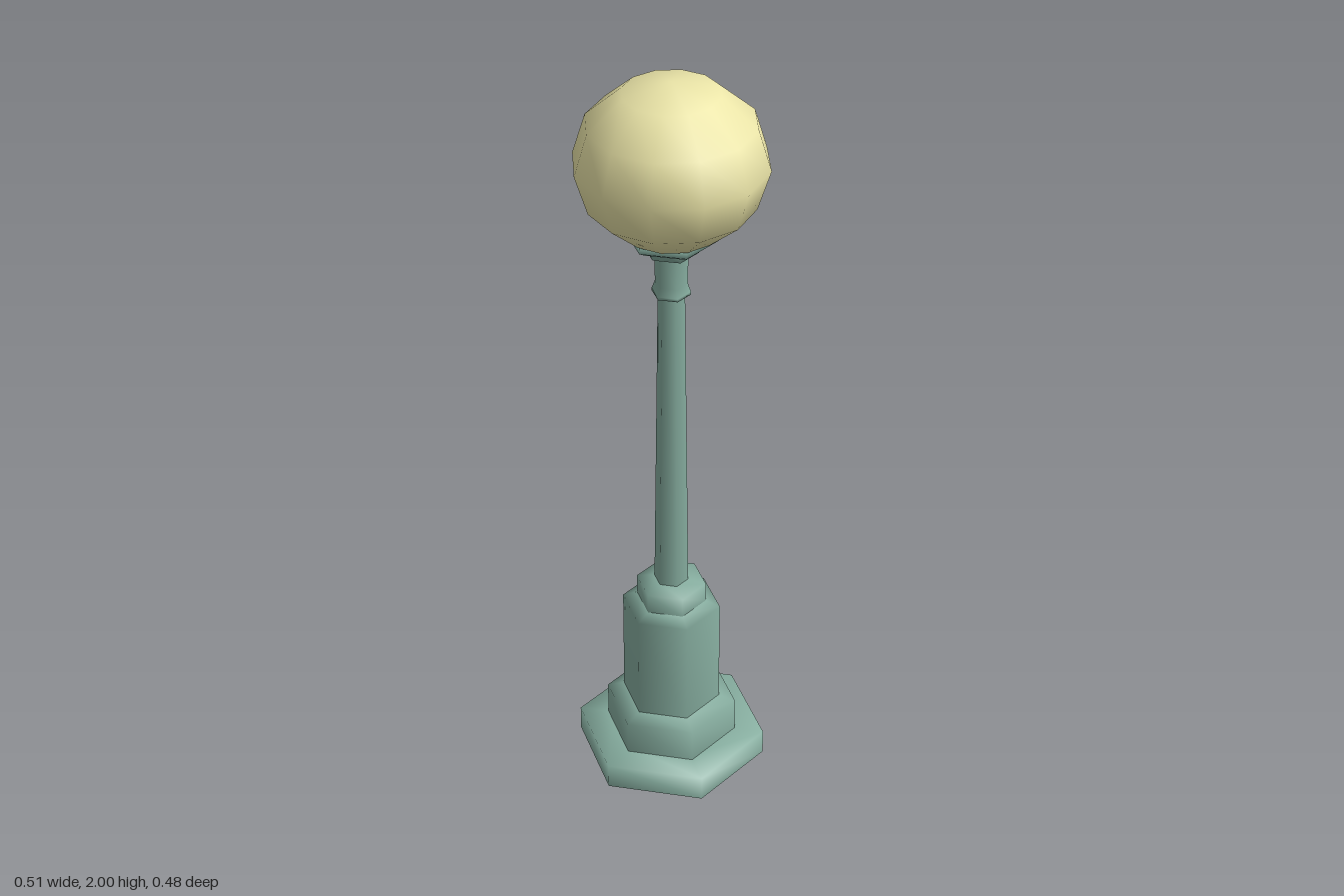
import * as THREE from 'three';

const GREEN = new THREE.MeshStandardMaterial({ color: 0x86ad9f });
const CREAM = new THREE.MeshStandardMaterial({ color: 0xebe5a8 });

export function createModel() {
  const lamp = new THREE.Group();
  lamp.name = 'streetLamp';

  const add = (name, geometry, material = GREEN) => {
    const mesh = new THREE.Mesh(geometry, material);
    mesh.name = name;
    lamp.add(mesh);
    return mesh;
  };

  // Six-sided turned part with corners on the x axis; profile is [radius, y] upwards
  const turned = (name, profile) =>
    add(name, new THREE.LatheGeometry(
      profile.map(([r, y]) => new THREE.Vector2(r, y)), 6, Math.PI / 2));

  // Stepped foot
  turned('base', [[0.253, 0], [0.253, 0.07], [0.16, 0.072]]);
  add('baseUnderside', new THREE.CircleGeometry(0.253, 6).rotateX(Math.PI / 2));
  turned('plinth', [[0.175, 0.07], [0.175, 0.165], [0.125, 0.182]]);
  turned('pedestal', [[0.13, 0.18], [0.13, 0.48], [0.088, 0.497]]);
  turned('pedestalCap', [[0.092, 0.495], [0.092, 0.55], [0.042, 0.56]]);

  // Tapering post and the collar at its top
  turned('post', [[0.045, 0.555], [0.034, 1.44]]);
  turned('collar', [[0.033, 1.428], [0.049, 1.43], [0.049, 1.438], [0.041, 1.46], [0.042, 1.555]]);

  // Stepped cup under the globe
  turned('cupNeck', [[0.04, 1.548], [0.068, 1.55], [0.068, 1.576]]);
  turned('cup', [[0.065, 1.573], [0.094, 1.575], [0.115, 1.588], [0.115, 1.61], [0, 1.61]]);

  // Slightly flattened globe
  const globe = add('globe', new THREE.SphereGeometry(0.24, 12, 6), CREAM);
  globe.scale.y = 0.875;
  globe.position.y = 1.79;

  return lamp;
}
